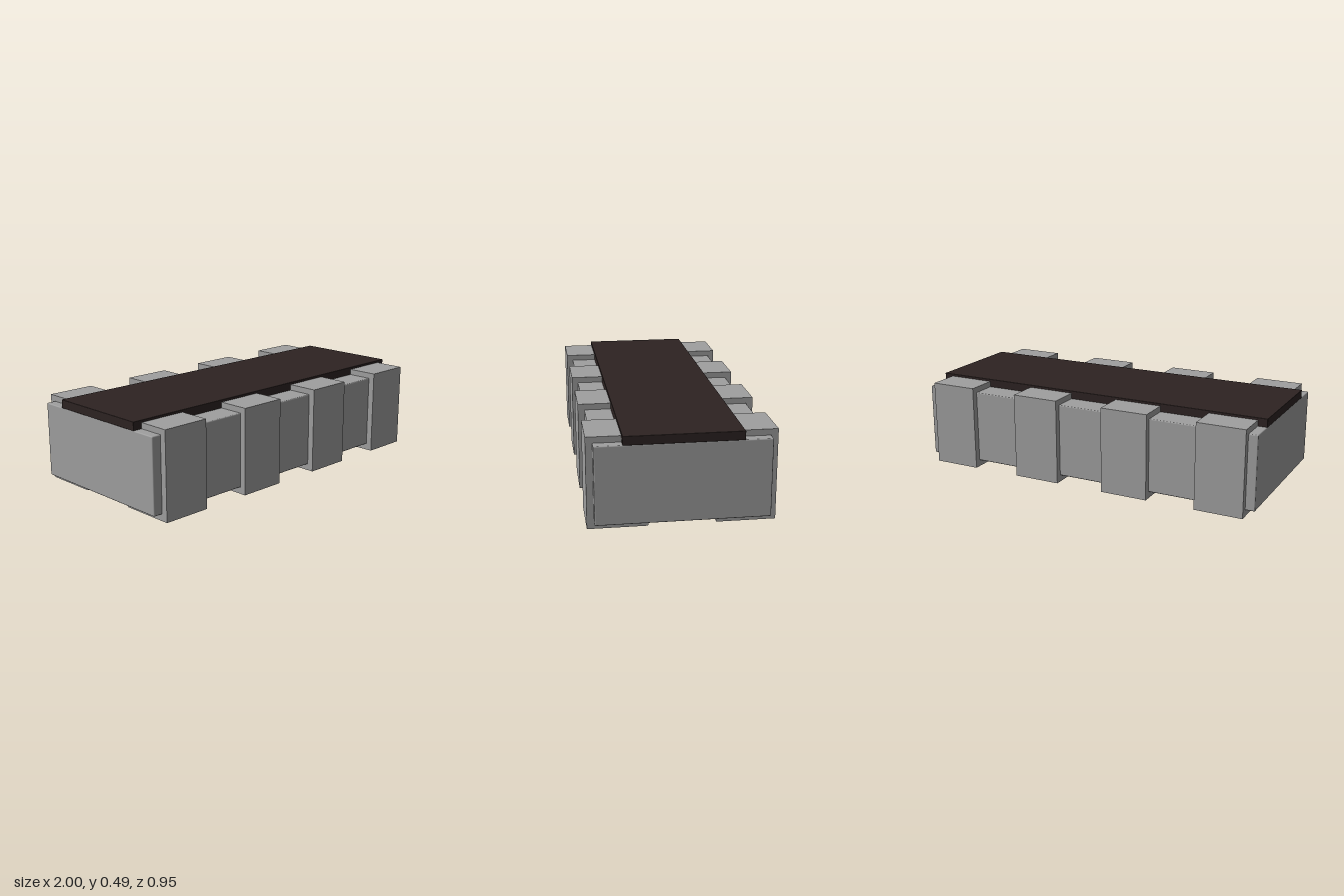
import * as THREE from 'three';
import { RoundedBoxGeometry } from 'three/addons/geometries/RoundedBoxGeometry.js';

const BODY = { width: 2, bottom: 0.036, top: 0.445, halfDepth: 0.44 };
const TERMINAL = { width: 0.268, outer: 0.475, top: 0.477, coverEdge: 0.29, footEdge: 0.17 };

// C-shaped clip section: x points outwards from the body, y is up
function clipShape() {
  const { outer, top, coverEdge, footEdge } = TERMINAL;
  const r = 0.008;
  const s = new THREE.Shape();
  s.moveTo(footEdge + r, 0);
  s.lineTo(outer, 0);
  s.lineTo(outer, top);
  s.lineTo(coverEdge, top);
  s.lineTo(coverEdge, BODY.top);
  s.lineTo(BODY.halfDepth, BODY.top);
  s.lineTo(BODY.halfDepth, BODY.bottom);
  s.lineTo(footEdge + r, BODY.bottom);
  s.quadraticCurveTo(footEdge, BODY.bottom, footEdge, BODY.bottom - r);
  s.lineTo(footEdge, r);
  s.quadraticCurveTo(footEdge, 0, footEdge + r, 0);
  return s;
}

export function createModel() {
  const group = new THREE.Group();
  const grey = new THREE.MeshStandardMaterial({ color: 0x9f9f9f });
  grey.name = 'grey';
  const dark = new THREE.MeshStandardMaterial({ color: 0x2d2322 });
  dark.name = 'dark brown';

  const add = (name, geometry, material, x, y, z) => {
    const mesh = new THREE.Mesh(geometry, material);
    mesh.name = name;
    mesh.position.set(x, y, z);
    group.add(mesh);
    return mesh;
  };

  // Block with slightly softened edges
  const height = BODY.top - BODY.bottom;
  add('body', new RoundedBoxGeometry(BODY.width, height, BODY.halfDepth * 2, 2, 0.006),
    grey, 0, BODY.bottom + height / 2, 0);

  // Dark coating along the top
  add('topCoating', new RoundedBoxGeometry(BODY.width, 0.047, 0.6, 2, 0.003), dark, 0, 0.4665, 0);

  // Four wrap-around terminals on each long side
  const clip = new THREE.ExtrudeGeometry(clipShape(), {
    depth: TERMINAL.width, bevelEnabled: false, curveSegments: 4,
  });
  clip.translate(0, 0, -TERMINAL.width / 2);
  for (const side of [1, -1]) {
    for (let i = 0; i < 4; i++) {
      const name = (side > 0 ? 'frontTerminal' : 'backTerminal') + (i + 1);
      add(name, clip, grey, (i - 1.5) * 0.543, 0, 0).rotation.y = -side * Math.PI / 2;
    }
  }
  return group;
}
